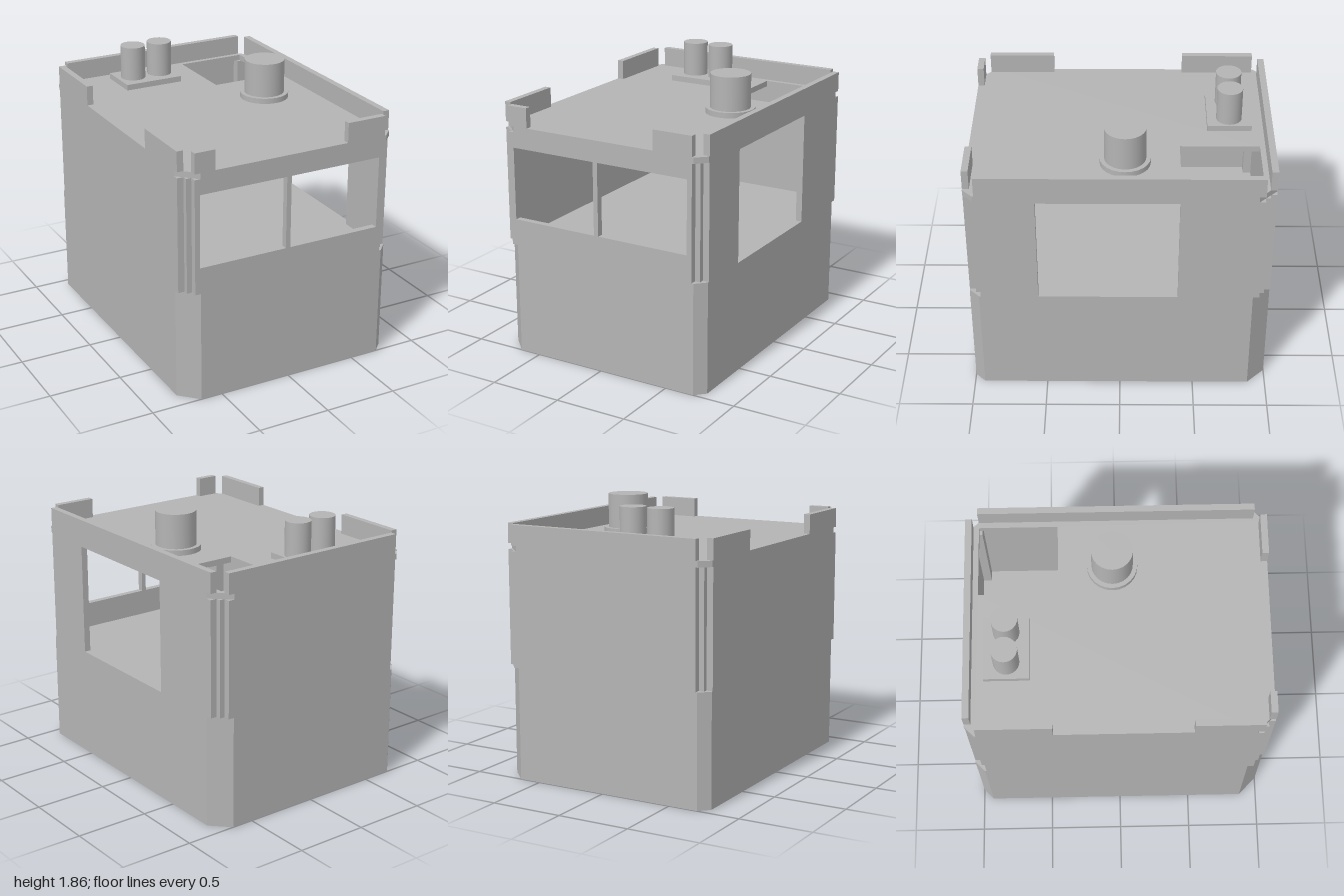
import * as THREE from 'three';

const W = 0.77, D = 1;            // half width and half depth
const FLOOR = 0.765, EAVE = 1.545, ROOF = 1.585, TOP = 1.72;
const T = 0.044;                  // wall thickness
const WX = 0.69, WZ = 0.922;      // where the walls stop short of the corners

export function createModel() {
  const group = new THREE.Group();
  const grey = new THREE.MeshStandardMaterial({ color: 0xb4b4b4 });
  grey.name = 'concrete grey';

  const add = (name, geometry) => {
    const mesh = new THREE.Mesh(geometry, grey);
    mesh.name = name;
    group.add(mesh);
    return mesh;
  };
  // box given by its lower and upper limits
  const box = (name, x0, x1, y0, y1, z0, z1) =>
    add(name, new THREE.BoxGeometry(x1 - x0, y1 - y0, z1 - z0))
      .position.set((x0 + x1) / 2, (y0 + y1) / 2, (z0 + z1) / 2);
  const rect = (x0, x1, y0, y1, Kind = THREE.Path) =>
    new Kind([[x0, y0], [x1, y0], [x1, y1], [x0, y1]].map(([x, y]) => new THREE.Vector2(x, y)));
  const extrude = (shape, depth) =>
    new THREE.ExtrudeGeometry(shape, { depth, bevelEnabled: false });

  // floor plan with two narrow and two wide cut corners (shape y is -z)
  const plan = () => {
    const n = 0.067, w = 0.12;
    return new THREE.Shape([
      [-W + w, -D], [W - n, -D], [W, -D + n], [W, D - w],
      [W - w, D], [-W + n, D], [-W, D - n], [-W, -D + w],
    ].map(([x, y]) => new THREE.Vector2(x, y)));
  };
  const slab = (name, shape, y0, y1) =>
    add(name, extrude(shape, y1 - y0).rotateX(-Math.PI / 2).translate(0, y0, 0));

  // solid base and roof with a hatch opening
  slab('base', plan(), 0, FLOOR);
  const roof = plan();
  roof.holes.push(rect(0.203, 0.687, 0.392, 0.92));
  slab('roof', roof, EAVE, ROOF);

  // front wall with two windows, plain back wall
  const front = rect(-WX, WX, FLOOR, EAVE, THREE.Shape);
  front.holes.push(rect(-0.655, -0.036, 0.945, 1.44), rect(-0.003, 0.655, 0.945, 1.44));
  add('frontWall', extrude(front, T).translate(0, 0, D - T));
  box('backWall', -WX, WX, FLOOR, EAVE, -D, -D + T);

  // left wall with an opening that starts at floor level, plain right wall
  box('windowWallFront', W - T, W, FLOOR, EAVE, 0.54, WZ);
  box('windowWallBack', W - T, W, FLOOR, EAVE, -WZ, -0.383);
  box('windowWallLintel', W - T, W, 1.53, EAVE, -0.383, 0.54);
  box('plainSideWall', -W, -W + T, FLOOR, EAVE, -WZ, WZ);

  // recessed corner posts
  for (const sx of [-1, 1]) for (const sz of [-1, 1]) {
    const x = [sx * 0.656, sx * (W - T)].sort((a, b) => a - b);
    const z = [sz * 0.9, sz * (D - T)].sort((a, b) => a - b);
    box('cornerPost', x[0], x[1], FLOOR, EAVE, z[0], z[1]);
  }

  // parapets, broken at the front and on one side
  box('backParapet', -WX, WX, ROOF, TOP, -D, -D + T);
  box('frontParapetA', -WX, -0.545, ROOF, TOP, D - T, D);
  box('frontParapetB', 0.41, WX, ROOF, TOP, D - T, D);
  box('fullSideParapet', W - T, W, ROOF, TOP, -WZ, WZ);
  box('brokenSideParapetBack', -W, -W + T, ROOF, TOP, -WZ, -0.43);
  box('brokenSideParapetFront', -W, -W + T, ROOF, TOP, 0.475, WZ);
  // wall ends that overhang the wide cut corners at roof level
  for (const s of [-1, 1]) {
    const x = [s * 0.65, s * WX].sort((a, b) => a - b);
    const z = [-s * 0.957, -s * D].sort((a, b) => a - b);
    box('parapetFoot', x[0], x[1], ROOF - 0.002, ROOF + 0.002, z[0], z[1]);
  }

  // roof vents
  const cylinder = (name, r, x, z, y0, y1) => {
    const geometry = new THREE.CylinderGeometry(r, r, y1 - y0, 24);
    add(name, geometry).position.set(x, (y0 + y1) / 2, z);
  };
  box('ventPlate', -0.4, 0.02, ROOF, 1.625, -0.877, -0.58);
  for (const x of [-0.285, -0.08]) cylinder('smallVent', 0.086, x, -0.728, 1.625, 1.86);
  cylinder('largeVentCollar', 0.167, 0.387, -0.032, ROOF, 1.622);
  cylinder('largeVent', 0.137, 0.387, -0.032, 1.622, 1.855);

  return group;
}
